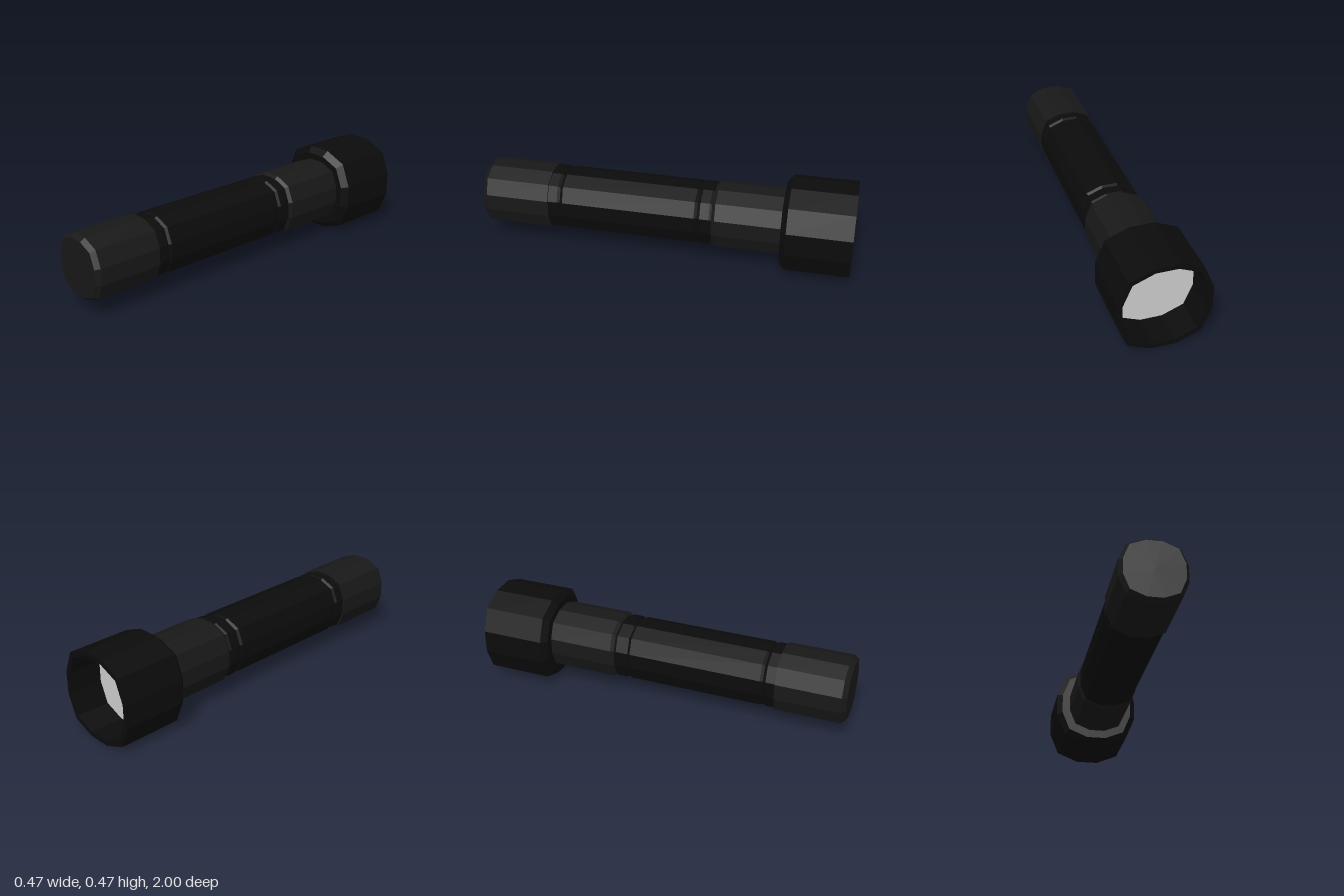
import * as THREE from 'three';

const SIDES = 12;
const black = new THREE.MeshStandardMaterial({ color: 0x0b0b0b, flatShading: true });
const charcoal = new THREE.MeshStandardMaterial({ color: 0x181818, flatShading: true });
const glass = new THREE.MeshStandardMaterial({ color: 0xcccccc, flatShading: true });

// Twelve-sided turned part along z; profile is [half width, z] from back to front
function turned(name, profile, material, x, y) {
  const points = profile.map(([r, z]) => new THREE.Vector2(r / Math.cos(Math.PI / 12), z));
  const geometry = new THREE.LatheGeometry(points, SIDES, Math.PI / 12);
  geometry.rotateX(Math.PI / 2);
  // The four diagonal corners stand out a little further
  const p = geometry.attributes.position;
  for (let i = 0; i < p.count; i++) {
    const ax = Math.abs(p.getX(i)), ay = Math.abs(p.getY(i));
    if (ax > 0.01 && Math.abs(ax - ay) < 0.001) {
      p.setXY(i, p.getX(i) * 1.075, p.getY(i) * 1.075);
    }
  }
  geometry.computeVertexNormals();
  const mesh = new THREE.Mesh(geometry, material);
  mesh.name = name;
  mesh.position.set(x, y, 0);
  return mesh;
}

export function createModel() {
  const group = new THREE.Group();
  group.name = 'flashlight';
  const bx = 0.004, by = 0.238;

  // Head: hollow bell with a recessed lens
  group.add(turned('head', [
    [0.21, -0.81], [0.21, -1], [0.235, -1], [0.235, -0.66], [0.205, -0.63], [0, -0.63],
  ], black, 0, 0.2325));
  group.add(turned('lens', [[0, -0.82], [0.212, -0.82]].reverse().map(([r, z]) => [r, z]).reverse(),
    glass, 0, 0.2325));

  // Neck behind the head
  group.add(turned('neck', [
    [0, -0.64], [0.165, -0.64], [0.165, -0.28], [0.15, -0.258], [0, -0.258],
  ], charcoal, bx, by));

  // Barrel with a grooved ring at each end
  group.add(turned('barrel', [
    [0, -0.27], [0.15, -0.27], [0.157, -0.25], [0.157, -0.2], [0.15, -0.185], [0.157, -0.17],
    [0.157, 0.55], [0.15, 0.565], [0.157, 0.58], [0.157, 0.64], [0, 0.64],
  ], black, bx, by));

  // Tail cap
  group.add(turned('tailCap', [
    [0, 0.63], [0.165, 0.63], [0.165, 0.975], [0.147, 1], [0, 1],
  ], charcoal, bx, by));
  return group;
}
